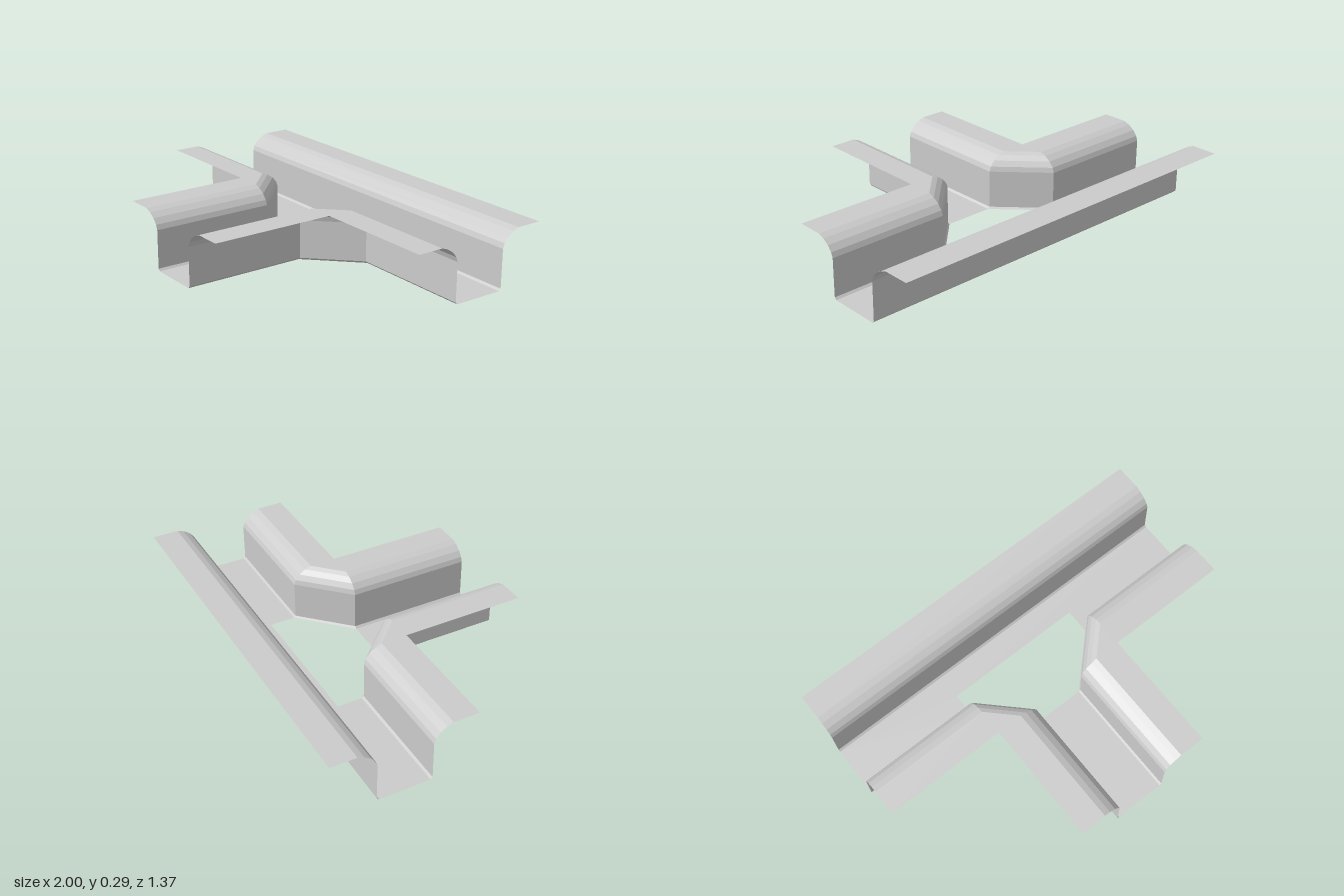
import * as THREE from 'three';

const HALF = 0.14;      // half width of the channel between its walls
const OUTER = 0.368;    // half width including the lips
const CHAMFER = 0.01;
const END = 0.684;      // front end of the branch
const MID = OUTER - END; // z of the main channel's centre line

// Wall profile: [distance outward from the wall, height]
const PROFILE = [
  [-CHAMFER, 0], [0, CHAMFER], [0, 0.205], [0.009, 0.23],
  [0.031, 0.257], [0.063, 0.278], [0.095, 0.29], [OUTER - HALF, 0.29],
];

const material = new THREE.MeshStandardMaterial({
  color: 0xcccccc, flatShading: true, side: THREE.DoubleSide,
});

// Sheet joining a row of cross-sections, each a list of Vector3
function loft(name, sections) {
  const points = [];
  const tri = (a, b, c) => {
    const area = new THREE.Triangle(a, b, c).getArea();
    if (area > 1e-8) points.push(a, b, c);
  };
  for (let i = 0; i < sections.length - 1; i++) {
    for (let j = 0; j < PROFILE.length - 1; j++) {
      const a = sections[i][j], b = sections[i + 1][j];
      const c = sections[i + 1][j + 1], d = sections[i][j + 1];
      tri(a, b, c);
      tri(a, c, d);
    }
  }
  const geometry = new THREE.BufferGeometry().setFromPoints(points);
  geometry.computeVertexNormals();
  const mesh = new THREE.Mesh(geometry, material);
  mesh.name = name;
  return mesh;
}

// Flat floor plate from [x, z] corners
function floorPlate(name, corners) {
  const shape = new THREE.Shape(corners.map(([x, z]) => new THREE.Vector2(x, -z)));
  const geometry = new THREE.ShapeGeometry(shape).rotateX(-Math.PI / 2);
  const mesh = new THREE.Mesh(geometry, material);
  mesh.name = name;
  return mesh;
}

const section = (place) =>
  PROFILE.map(([o, y]) => {
    const [x, z] = place(o);
    return new THREE.Vector3(x, y, z);
  });

export function createModel() {
  const group = new THREE.Group();
  group.name = 'teeChannel';

  // Straight back wall with its curved lip
  group.add(loft('backWall', [-1, 1].map((x) => section((o) => [x, MID - HALF - o]))));

  // Corner walls: along the main channel, across the diagonal, down the branch
  for (const [side, name] of [[1, 'leftCornerWall'], [-1, 'rightCornerWall']]) {
    const sections = [
      section((o) => [side, MID + HALF + o]),
      section((o) => [side * OUTER, MID + HALF + o]),
      section((o) => [side * (HALF + o), MID + OUTER]),
      section((o) => [side * (HALF + o), END]),
    ];
    if (side < 0) sections.reverse();
    group.add(loft(name, sections));
  }

  // Floors, left open at the junction
  const w = HALF - CHAMFER;
  group.add(floorPlate('mainFloor', [
    [-1, MID - w], [1, MID - w], [1, MID + w], [OUTER, MID + w],
    [OUTER, MID], [-OUTER, MID], [-OUTER, MID + w], [-1, MID + w],
  ]));
  group.add(floorPlate('branchFloor', [
    [-w, MID + OUTER], [w, MID + OUTER], [w, END], [-w, END],
  ]));

  return group;
}
